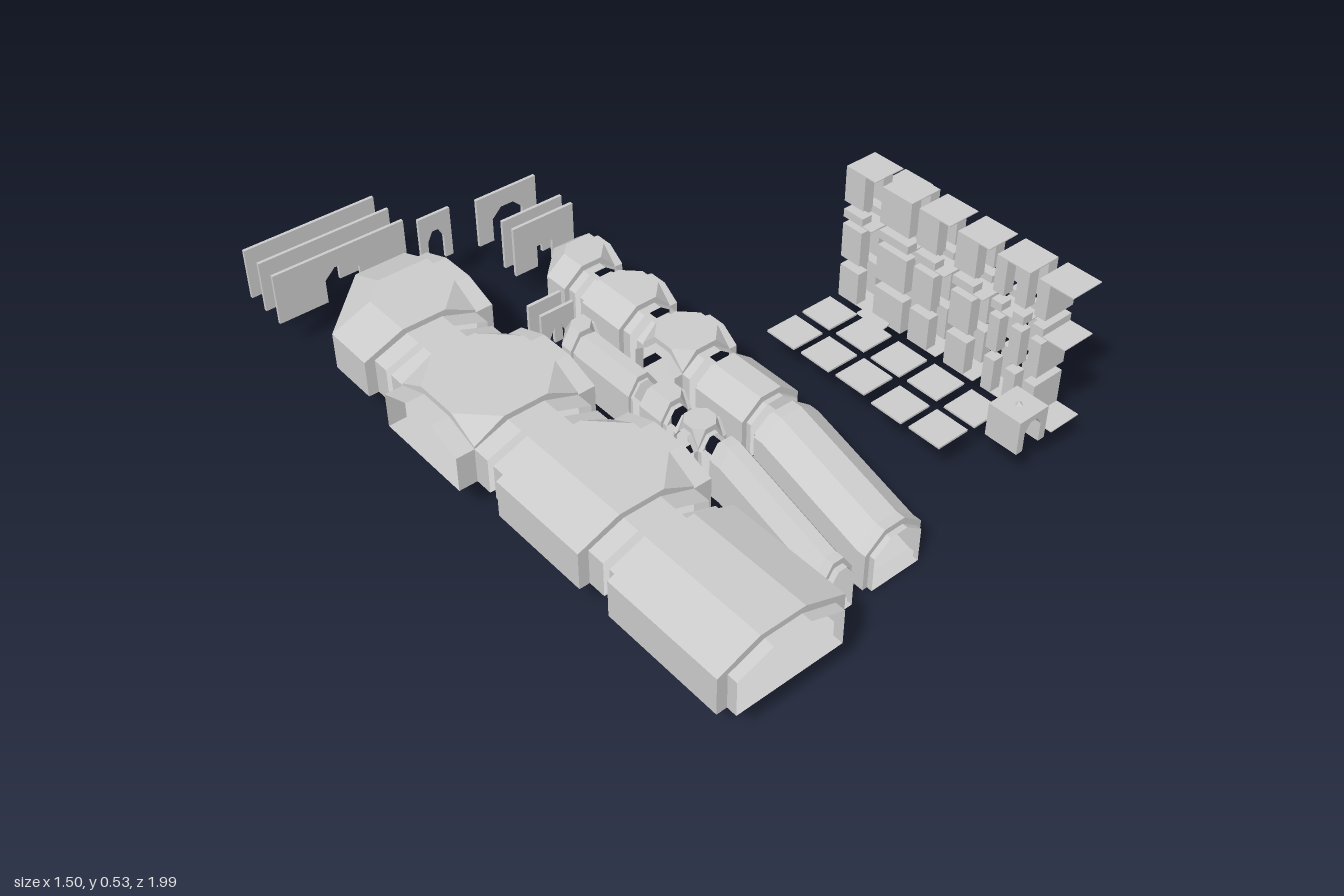
import * as THREE from 'three';
import { ConvexGeometry } from 'three/addons/geometries/ConvexGeometry.js';

const mat = new THREE.MeshStandardMaterial({ color: 0xcccccc, flatShading: true, side: THREE.DoubleSide });
const FLOOR = 0.113;
const V = (x, y, z) => new THREE.Vector3(x, y, z);
// shared module sizes (plan values are scaled per tunnel size)
const NECK = 0.158, BODY = 0.188, ARM = 0.212, FLAT = 0.066;

function add(parent, name, geo, x = 0, y = 0, z = 0) {
  const m = new THREE.Mesh(geo, mat);
  m.name = name;
  m.position.set(x, y, z);
  parent.add(m);
  return m;
}

function box(parent, name, w, h, d, x, y, z) {
  return add(parent, name, new THREE.BoxGeometry(w, h, d), x, y, z);
}

function fromPositions(arr) {
  const g = new THREE.BufferGeometry();
  g.setAttribute('position', new THREE.Float32BufferAttribute(arr, 3));
  g.computeVertexNormals();
  return g;
}

// open tube through a list of closed rings
function loft(rings) {
  const out = [];
  for (let r = 0; r + 1 < rings.length; r++) {
    const a = rings[r], b = rings[r + 1], n = a.length;
    for (let i = 0; i < n; i++) {
      const j = (i + 1) % n;
      for (const p of [a[i], b[i], b[j], a[i], b[j], a[j]]) out.push(p.x, p.y, p.z);
    }
  }
  return fromPositions(out);
}

// chamfered arch cross-sections
function arch(hl, hr, side, top, t, y, z) {
  return [V(-hl, y, z), V(-hl, y + side, z), V(-t, y + top, z), V(t, y + top, z), V(hr, y + side, z), V(hr, y, z)];
}
const neckRing = (k, z, y = 0) => arch(NECK * k, NECK * k, 0.105, 0.143, 0.055 * k, y, z);
const bodyRing = (k, z, y = 0, hl = BODY, hr = BODY) => arch(hl * k, hr * k, 0.112, 0.16, FLAT * k, y, z);

function corridor(parent, k, x, z0, z1) {
  const e = 0.03 * k;
  add(parent, 'straightTunnel', loft([
    neckRing(k, z0), neckRing(k, z0 + e), bodyRing(k, z0 + e),
    bodyRing(k, z1 - e), neckRing(k, z1 - e), neckRing(k, z1)]), x, FLOOR, 0);
}

function ramp(parent, k, x) {
  const d = 0.005 - FLOOR;
  add(parent, 'slopedTunnel', loft([
    neckRing(k, 0.43), neckRing(k, 0.445), bodyRing(k, 0.445), bodyRing(k, 0.475),
    bodyRing(k, 0.81, d), bodyRing(k, 0.837, d), neckRing(k, 0.837, d), neckRing(k, 0.853, d)]), x, FLOOR, 0);
}

// junction room: a faceted hull opened toward each arm
function room(parent, kind, k, x, z) {
  const g = new THREE.Group();
  g.name = kind + 'Junction';
  g.position.set(x, FLOOR, z);
  parent.add(g);
  const pts = [], S = 0.112, T = 0.16;
  const eave = (px, pz) => pts.push(V(px * k, 0, pz * k), V(px * k, S, pz * k));
  const ridge = (px, pz) => pts.push(V(px * k, T, pz * k));
  const openCorner = (sx, sz) => {
    eave(sx * NECK, sz * NECK);
    ridge(sx * NECK, sz * FLAT);
    ridge(sx * FLAT, sz * NECK);
  };
  openCorner(1, 1);
  if (kind !== 'corner') openCorner(1, -1);
  if (kind === 'cross') { openCorner(-1, 1); openCorner(-1, -1); }
  if (kind === 'tee') for (const s of [1, -1]) { eave(-BODY, s * NECK); ridge(-FLAT, s * NECK); }
  if (kind === 'corner') {
    eave(-BODY, NECK); ridge(-FLAT, NECK);
    eave(NECK, -BODY); ridge(NECK, -FLAT);
    eave(-BODY, 0); eave(0, -BODY);
    ridge(-FLAT, 0); ridge(0, -FLAT);
  }
  // arms: [turn, left wall reach, right wall reach]
  const arms = {
    cross: [[0, NECK, NECK], [1, NECK, NECK], [2, NECK, NECK], [3, NECK, NECK]],
    tee: [[0, BODY, NECK], [1, NECK, NECK], [2, NECK, BODY]],
    corner: [[0, BODY, NECK], [1, NECK, BODY]],
  }[kind];
  const src = new ConvexGeometry(pts).getAttribute('position');
  const kept = [];
  for (let i = 0; i < src.count; i += 3) {
    const tri = [0, 1, 2].map(j => V().fromBufferAttribute(src, i + j));
    const isOpening = arms.some(([q]) => tri.every(p => {
      const reach = [p.z, p.x, -p.z, -p.x][q];
      return Math.abs(reach - NECK * k) < 1e-4;
    }));
    if (!isOpening) for (const p of tri) kept.push(p.x, p.y, p.z);
  }
  add(g, 'roomShell', fromPositions(kept));
  for (const [q, hl, hr] of arms) {
    add(g, 'roomArm', loft([bodyRing(k, NECK * k, 0, hl, hr), neckRing(k, NECK * k), neckRing(k, ARM * k)]))
      .rotation.y = q * Math.PI / 2;
  }
}

// thin end wall with a doorway
function doorWall(parent, x, z, half, doorHalf, doorH, pointed, height = 0.16, depth = 0.01) {
  const s = new THREE.Shape();
  s.moveTo(-half, 0);
  s.lineTo(-doorHalf, 0);
  s.lineTo(-doorHalf, pointed ? doorH * 0.7 : doorH);
  s.lineTo(-doorHalf * 0.4, doorH);
  s.lineTo(doorHalf * 0.4, doorH);
  s.lineTo(doorHalf, pointed ? doorH * 0.7 : doorH);
  s.lineTo(doorHalf, 0);
  s.lineTo(half, 0);
  s.lineTo(half, height);
  s.lineTo(-half, height);
  const g = new THREE.ExtrudeGeometry(s, { depth, bevelEnabled: false });
  add(parent, 'doorWall', g, x, FLOOR, z - depth / 2);
}

export function createModel() {
  const model = new THREE.Group();
  model.name = 'tunnelKit';
  const group = name => {
    const g = new THREE.Group();
    g.name = name;
    model.add(g);
    return g;
  };

  // large tunnels
  const large = group('largeTunnels');
  corridor(large, 1, -0.543, 0.56, 0.99);
  room(large, 'tee', 1, -0.543, 0.325);
  room(large, 'cross', 1, -0.543, -0.124);
  room(large, 'corner', 1, -0.543, -0.572);
  doorWall(large, -0.543, -0.84, 0.208, 0.055, 0.105, true);
  doorWall(large, -0.543, -0.916, 0.208, 0.029, 0.105, true);
  doorWall(large, -0.543, -0.995, 0.208, 0.029, 0.07, false);

  // medium tunnels
  const medium = group('mediumTunnels');
  ramp(medium, 0.5, -0.067);
  corridor(medium, 0.5, -0.053, 0.196, 0.402);
  room(medium, 'cross', 0.5, -0.053, 0.063);
  room(medium, 'tee', 0.5, -0.053, -0.178);
  room(medium, 'corner', 0.5, -0.053, -0.414);
  doorWall(medium, -0.018, -0.787, 0.104, 0.053, 0.105, true);
  doorWall(medium, -0.023, -0.652, 0.104, 0.027, 0.105, true);
  doorWall(medium, -0.023, -0.6, 0.104, 0.027, 0.07, false);

  // small tunnels
  const small = group('smallTunnels');
  ramp(small, 0.25, -0.252);
  room(small, 'cross', 0.25, -0.252, 0.349);
  room(small, 'tee', 0.25, -0.252, 0.217);
  corridor(small, 0.25, -0.252, -0.095, 0.137);
  room(small, 'corner', 0.25, -0.252, -0.147);
  for (const [z, h] of [[-0.81, 0.105], [-0.285, 0.07], [-0.23, 0.105]])
    doorWall(small, -0.252, z, 0.053, 0.027, h, true);

  // floor tiles
  const floor = group('floorTiles');
  const rows = [0.11, 0.243, 0.375, 0.508, 0.64, 0.775];
  for (let i = 0; i < 5; i++) {
    box(floor, 'floorTile', 0.106, 0.006, 0.106, 0.296, 0.118 + 0.005 * (i % 3), rows[i]);
    box(floor, 'floorTile', 0.106, 0.006, 0.106, 0.428, 0.118 + 0.004 * (i % 2), rows[i]);
  }
  const quarter = new THREE.CylinderGeometry(0.1, 0.1, 0.004, 8, 1, false, -Math.PI / 2, Math.PI / 2);
  add(floor, 'quarterTile', quarter, 0.48, 0.123, 0.162).rotation.y = Math.PI / 2;
  box(floor, 'smallTile', 0.028, 0.005, 0.028, 0.69, 0.116, 0.243);

  // small arched gatehouse
  const gate = group('gatehouse');
  doorWall(gate, 0.434, 0.775, 0.053, 0.03, 0.085, true, 0.103, 0.104);
  add(gate, 'gatePeak', new THREE.ConeGeometry(0.012, 0.012, 4), 0.434, 0.222, 0.775);

  // stacked wall modules: plan blocks as [x0, x1, z0, z1]
  const H = 0.053, G = 0.018;
  const bend = [[-H, H, -H, -G], [-H, -G, -G, G], [G, H, -H, G]];
  const plans = [
    bend,
    [[-H, -G, -H, H], [G, H, -H, H]],
    bend,
    bend,
    [[-H, -G, -H, -G], [G, H, -H, -G], [-H, -G, G, H], [G, H, G, H]],
    [[-H, H, -H, -G]],
  ];
  const tiers = [[0.113, 0.218], [0.246, 0.355], [0.377, 0.402], [0.428, 0.537]];
  rows.forEach((z, r) => {
    const stack = group('wallStack');
    stack.position.set(0.567, 0, z);
    for (const [y0, y1] of tiers)
      for (const [x0, x1, z0, z1] of plans[r])
        box(stack, 'wallBlock', x1 - x0, y1 - y0, z1 - z0, (x0 + x1) / 2, (y0 + y1) / 2, (z0 + z1) / 2);
    for (const y of [0.114, 0.378, 0.537]) box(stack, 'wallCap', 0.106, 0.003, 0.106, 0, y, 0);
  });

  // free-standing shaft
  const shaft = group('shaft');
  shaft.position.set(0.698, 0, 0.11);
  for (const [y0, y1] of [[0.125, 0.165], [0.195, 0.304], [0.33, 0.353], [0.385, 0.43]])
    for (const sx of [-1, 1]) for (const sz of [-1, 1])
      box(shaft, 'shaftPost', 0.026, y1 - y0, 0.026, sx * 0.024, (y0 + y1) / 2, sz * 0.024);
  for (const y of [0.116, 0.43]) box(shaft, 'shaftCap', 0.102, 0.004, 0.102, 0, y, 0);

  return model;
}
